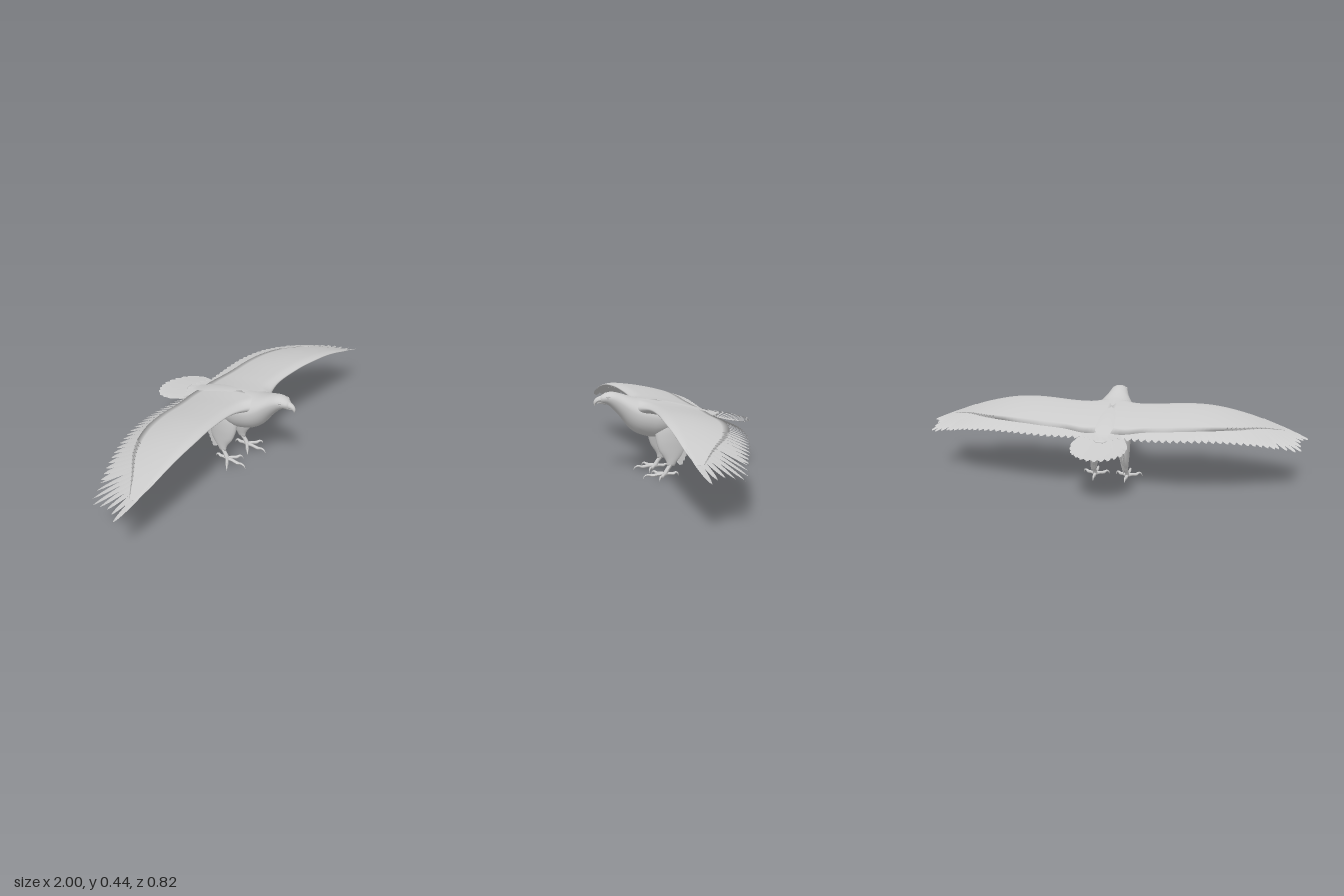
import * as THREE from 'three';
import { mergeGeometries } from 'three/addons/utils/BufferGeometryUtils.js';

const V = (x, y, z) => new THREE.Vector3(x, y, z);
const skin = new THREE.MeshStandardMaterial({ color: 0xcccccc });
const plume = new THREE.MeshStandardMaterial({ color: 0xcccccc, side: THREE.DoubleSide });

// Smooth interpolation of rows [key, ...values], keys ascending
function table(rows) {
  const slope = (a, b, c) => (b[c] - a[c]) / (b[0] - a[0] || 1);
  return (k) => {
    let i = 0;
    while (i < rows.length - 2 && k > rows[i + 1][0]) i++;
    const a = rows[i], b = rows[i + 1], h = b[0] - a[0];
    const p = rows[i - 1] || a, n = rows[i + 2] || b;
    const t = Math.min(1, Math.max(0, (k - a[0]) / h)), t2 = t * t, t3 = t2 * t;
    return a.slice(1).map((_, j) => {
      const c = j + 1, m0 = slope(p, b, c) * h, m1 = slope(a, n, c) * h;
      return (2 * t3 - 3 * t2 + 1) * a[c] + (t3 - 2 * t2 + t) * m0 + (3 * t2 - 2 * t3) * b[c] + (t3 - t2) * m1;
    });
  };
}

// Surface through rows of points; closed rows get end caps
function surface(rows, closed) {
  const n = rows[0].length, pos = rows.flat().flatMap((p) => [p.x, p.y, p.z]), idx = [];
  for (let i = 0; i < rows.length - 1; i++) for (let j = 0; j < (closed ? n : n - 1); j++) {
    const a = i * n + j, b = i * n + (j + 1) % n;
    idx.push(a, a + n, b, b, a + n, b + n);
  }
  if (closed) [0, rows.length - 1].forEach((r) => {
    const c = rows[r].reduce((s, p) => s.add(p), V(0, 0, 0)).divideScalar(n), ci = pos.length / 3;
    pos.push(c.x, c.y, c.z);
    for (let j = 0; j < n; j++) {
      const a = r * n + j, b = r * n + (j + 1) % n;
      idx.push(ci, r ? b : a, r ? a : b);
    }
  });
  const g = new THREE.BufferGeometry();
  g.setAttribute('position', new THREE.Float32BufferAttribute(pos, 3));
  g.setIndex(idx);
  g.computeVertexNormals();
  return g;
}

// Tube along points whose radius follows a list
function taper(points, radii, seg = 14, sides = 10) {
  const curve = new THREE.CatmullRomCurve3(points), g = new THREE.TubeGeometry(curve, seg, 1, sides);
  const p = g.attributes.position, v = V(0, 0, 0);
  for (let i = 0; i < p.count; i++) {
    const t = Math.floor(i / (sides + 1)) / seg, c = curve.getPointAt(t);
    const k = t * (radii.length - 1), a = Math.min(Math.floor(k), radii.length - 2);
    const r = THREE.MathUtils.lerp(radii[a], radii[a + 1], k - a);
    v.fromBufferAttribute(p, i).sub(c).multiplyScalar(r).add(c);
    p.setXYZ(i, v.x, v.y, v.z);
  }
  g.computeVertexNormals();
  return g;
}

// Round-tipped blade from root to tip; drape gives the height at (x, z)
function feather(root, tip, normal, w, drape, lift = 0, point = 0.25) {
  const side = tip.clone().sub(root).cross(normal).normalize(), rows = [];
  for (let i = 0; i <= 12; i++) {
    const s = 1 - (1 - i / 12) ** 1.5, e = Math.max(0, (s - 1 + point) / point);
    const half = w * Math.min(1, 0.55 + s) * Math.sqrt(Math.max(0.0004, 1 - e * e));
    rows.push([1, 0, -1].map((v) => {
      const p = root.clone().lerp(tip, s).addScaledVector(side, half * v);
      if (drape) p.y = drape(p.x, p.z) + lift + 0.003 * v + (v ? 0 : 0.001);
      return p;
    }));
  }
  return surface(rows, false);
}

// Row of feathers from one curve to another
function featherRow(roots, tips, n, w, drape, lift, point) {
  const curve = (a) => new THREE.CatmullRomCurve3(a.map(([x, z]) => V(x, 0, z)));
  const A = curve(roots), B = curve(tips), list = [];
  for (let i = 0; i < n; i++) {
    const t = i / (n - 1);
    list.push(feather(A.getPointAt(t), B.getPointAt(t), V(0, 1, 0), w, drape, lift, point));
  }
  return mergeGeometries(list);
}

// Wing: leading edge height, then leading z, skin trailing z, thickness by span
const crest = table([[0, 0.4], [0.1, 0.396], [0.2, 0.399], [0.4, 0.404], [0.55, 0.39], [0.7, 0.354], [0.85, 0.3], [1.02, 0.235]]);
const plan = table([[0, 0.25, -0.15, 0.12], [0.05, 0.24, -0.16, 0.11], [0.1, 0.205, -0.16, 0.08], [0.2, 0.185, -0.14, 0.048],
  [0.35, 0.195, -0.13, 0.036], [0.5, 0.21, -0.1, 0.03], [0.65, 0.212, -0.03, 0.022], [0.78, 0.21, 0.08, 0.014], [0.88, 0.198, 0.16, 0.006]]);
const wingTop = (x, z) => {
  const d = Math.max(0, 0.2 - z);
  return crest(Math.abs(x))[0] - 0.08 * d - 0.4 * d * d;
};
function wingSkin() {
  const rows = [], N = 16;
  for (let i = 0; i <= 44; i++) {
    const x = 0.02 * i, [lead, trail, th] = plan(x), ring = [];
    for (let j = 0; j < 2 * N; j++) {
      const u = (j <= N ? j / N : 2 - j / N) ** 2, z = lead + (trail - lead) * u;
      const drop = 0.4 * th * (1 - Math.sqrt(Math.min(1, u / 0.12)));
      const depth = j > N ? 2.4 * th * Math.sqrt(u) * (1 - u) ** 2 : 0;
      ring.push(V(x, wingTop(x, z) - drop - depth, z));
    }
    rows.push(ring);
  }
  return surface(rows, true);
}

// Body sections by z: top, bottom, half width
function bodyShape() {
  const f = table([[-0.24, 0.3, 0.288, 0.02], [-0.18, 0.314, 0.282, 0.055], [-0.1, 0.343, 0.262, 0.085], [0, 0.37, 0.225, 0.105],
    [0.1, 0.388, 0.2, 0.112], [0.15, 0.396, 0.207, 0.11], [0.2, 0.405, 0.226, 0.102], [0.24, 0.417, 0.258, 0.085],
    [0.28, 0.431, 0.312, 0.06], [0.32, 0.44, 0.358, 0.046], [0.35, 0.436, 0.382, 0.036], [0.37, 0.426, 0.388, 0.024], [0.38, 0.42, 0.391, 0.016]]);
  const rows = [];
  for (let i = 0; i <= 60; i++) {
    const z = 0.38 - 0.62 * (i / 60), [top, bot, w] = f(z), mid = bot + (top - bot) * 0.58, ring = [];
    for (let j = 0; j < 32; j++) {
      const a = (j / 32) * Math.PI * 2, s = Math.sin(a);
      ring.push(V(w * Math.cos(a), mid + s * (s > 0 ? top - mid : mid - bot), z));
    }
    rows.push(ring);
  }
  return surface(rows, true);
}

// Thigh sections by height: centre x, front z, back z, half width
const thighAt = table([[0.06, 0.083, 0.062, 0.02, 0.01], [0.08, 0.082, 0.064, 0.01, 0.014], [0.1, 0.08, 0.074, -0.01, 0.018], [0.14, 0.077, 0.1, -0.035, 0.024],
  [0.2, 0.07, 0.116, -0.045, 0.034], [0.26, 0.063, 0.115, -0.045, 0.038], [0.32, 0.055, 0.09, -0.02, 0.028]]);
function thighShape() {
  const rows = [];
  for (let i = 0; i <= 24; i++) {
    const y = 0.32 - 0.26 * (i / 24), [cx, zf, zb, rx] = thighAt(y), ring = [];
    for (let j = 0; j < 24; j++) {
      const a = (j / 24) * Math.PI * 2;
      ring.push(V(cx + rx * Math.cos(a), y, (zf + zb) / 2 - (zf - zb) / 2 * Math.sin(a)));
    }
    rows.push(ring);
  }
  return surface(rows, true);
}
function thighFeathers() {
  const list = [], edge = table([[0.06, -0.018], [0.1, -0.04], [0.15, -0.065], [0.215, -0.081]]);
  for (let i = 0; i < 9; i++) for (const off of [-0.5, 0, 0.5]) {
    const y = 0.062 + 0.019 * i + 0.006 * off, [cx, zf, zb, rx] = thighAt(y + 0.05);
    const z = edge(y)[0] + Math.abs(off) * 0.012;
    list.push(feather(V(cx + off * rx, y + 0.06, zb + 0.025), V(thighAt(y)[0] + off * rx * 0.5, y, z), V(1, 0, 0), 0.013, null, 0, 0.5));
  }
  return mergeGeometries(list);
}

// Foot: toe ending at (x, z) with a curved claw
function toe(x, z) {
  const hub = V(0.085, 0.02, 0.072), at = (k, y) => V(hub.x + (x - hub.x) * k, y, hub.z + (z - hub.z) * k);
  return taper([hub, at(0.3, 0.021), at(0.6, 0.018), at(0.78, 0.024), at(0.93, 0.018), at(1, 0.003)],
    [0.01, 0.0085, 0.008, 0.0085, 0.006, 0.004, 0.0004], 20, 8);
}

export function createModel() {
  const root = new THREE.Group();
  root.name = 'eagle';
  const add = (name, geo, mat = skin) => {
    const m = new THREE.Mesh(geo, mat);
    m.name = name;
    root.add(m);
  };
  const addPair = (name, geo, mat) => {
    const other = geo.clone().scale(-1, 1, 1), ix = other.index;
    for (let i = 0; i < ix.count; i += 3) {
      const a = ix.getX(i);
      ix.setX(i, ix.getX(i + 2));
      ix.setX(i + 2, a);
    }
    other.computeVertexNormals();
    add(name + 'Left', geo, mat);
    add(name + 'Right', other, mat);
  };

  // Body and head
  add('body', bodyShape());
  add('upperBeak', taper([V(0, 0.406, 0.362), V(0, 0.405, 0.382), V(0, 0.4, 0.397), V(0, 0.389, 0.406), V(0, 0.374, 0.407)], [0.02, 0.017, 0.013, 0.008, 0.0005]));
  add('lowerBeak', taper([V(0, 0.392, 0.35), V(0, 0.39, 0.375), V(0, 0.387, 0.395)], [0.014, 0.009, 0.001]));
  addPair('eye', new THREE.SphereGeometry(0.006, 14, 10).translate(0.032, 0.411, 0.346));
  addPair('brow', taper([V(0.037, 0.417, 0.33), V(0.034, 0.42, 0.345), V(0.024, 0.418, 0.362)], [0.002, 0.006, 0.002]));

  // Wings with flight feathers and under coverts
  addPair('wing', wingSkin());
  addPair('secondaryFeathers', featherRow([[0.08, 0.02], [0.3, 0.03], [0.45, 0.06], [0.56, 0.1], [0.66, 0.15]],
    [[0.1, -0.195], [0.35, -0.203], [0.5, -0.182], [0.66, -0.135], [0.83, -0.06]], 23, 0.022, wingTop, -0.004), plume);
  addPair('primaryFeathers', featherRow([[0.66, 0.14], [0.7, 0.155], [0.74, 0.175], [0.76, 0.188], [0.77, 0.196]],
    [[0.85, -0.048], [0.955, 0.005], [0.958, 0.06], [0.962, 0.12], [0.998, 0.175]], 8, 0.018, wingTop, -0.003, 0.55), plume);
  addPair('underCoverts', featherRow([[0.1, 0.08], [0.4, 0.1], [0.6, 0.14], [0.74, 0.18]],
    [[0.11, -0.1], [0.4, -0.1], [0.62, -0.03], [0.85, 0.08]], 20, 0.024, wingTop, -0.014), plume);

  // Tail fan
  const tailTop = (x, z) => 0.309 + 0.2 * (z + 0.15) - 0.25 * x * x;
  add('tailFeathers', featherRow([[-0.07, -0.13], [0, -0.12], [0.07, -0.13]],
    [[-0.125, -0.285], [-0.115, -0.345], [-0.06, -0.395], [0, -0.41], [0.06, -0.395], [0.115, -0.345], [0.125, -0.285]], 13, 0.024, tailTop, 0), plume);
  add('tailCoverts', featherRow([[-0.05, -0.08], [0, -0.07], [0.05, -0.08]],
    [[-0.085, -0.2], [0, -0.235], [0.085, -0.2]], 7, 0.024, tailTop, 0.007), plume);

  // Legs and feet
  addPair('thigh', thighShape());
  addPair('thighFeathers', thighFeathers(), plume);
  addPair('shank', taper([V(0.082, 0.1, 0.03), V(0.083, 0.065, 0.045), V(0.085, 0.04, 0.062), V(0.085, 0.02, 0.073)], [0.016, 0.012, 0.01, 0.012]));
  addPair('foot', mergeGeometries([toe(0.018, 0.125), toe(0.088, 0.19), toe(0.158, 0.125), toe(0.083, 0.0)]));
  return root;
}
